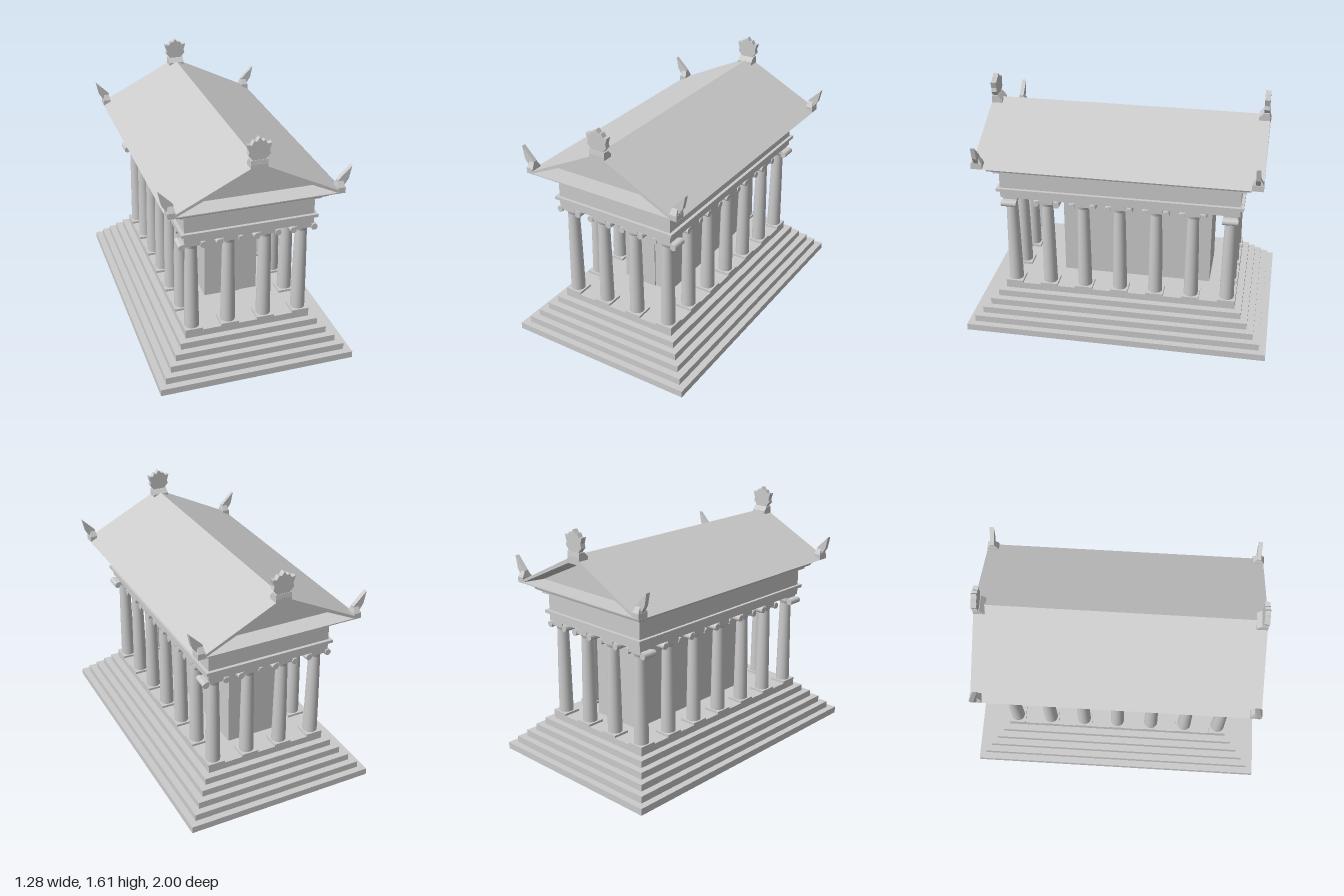
import * as THREE from 'three';

const material = new THREE.MeshStandardMaterial({ color: 0xcccccc });
const flat = new THREE.MeshStandardMaterial({ color: 0xcccccc, flatShading: true });

function add(parent, name, geometry, mat = material) {
  const mesh = new THREE.Mesh(geometry, mat);
  mesh.name = name;
  parent.add(mesh);
  return mesh;
}

// Box given by its centre in x and z, half sizes and vertical range
function slab(parent, name, hx, hz, y0, y1, x = 0, z = 0) {
  const mesh = add(parent, name, new THREE.BoxGeometry(2 * hx, y1 - y0, 2 * hz));
  mesh.position.set(x, (y0 + y1) / 2, z);
  return mesh;
}

// Closed skin through equal-sized loops of points, with both ends capped
function loft(loops) {
  const n = loops[0].length;
  const index = [];
  for (let i = 0; i < loops.length - 1; i++) {
    for (let j = 0; j < n; j++) {
      const a = i * n + j, b = i * n + (j + 1) % n;
      index.push(a, b, b + n, a, b + n, a + n);
    }
  }
  const last = (loops.length - 1) * n;
  for (let j = 1; j < n - 1; j++) index.push(0, j + 1, j, last, last + j, last + j + 1);
  const geometry = new THREE.BufferGeometry();
  geometry.setAttribute('position', new THREE.Float32BufferAttribute(loops.flat(2), 3));
  geometry.setIndex(index);
  const result = geometry.toNonIndexed();
  result.computeVertexNormals();
  return result;
}

// Horizontal rectangle loop, wound so that a loft rising in y faces outward
const rect = (hx, hz, y, z = 0) => [[-hx, y, z + hz], [hx, y, z + hz], [hx, y, z - hz], [-hx, y, z - hz]];

// Flat outline extruded and centred on z = 0
function plate(points, depth) {
  const shape = new THREE.Shape(points.map(([x, y]) => new THREE.Vector2(x, y)));
  return new THREE.ExtrudeGeometry(shape, { depth, bevelEnabled: false }).translate(0, 0, -depth / 2);
}

const shaftProfile = [[0.047, 0.285], [0.047, 0.31], [0.0455, 0.42], [0.043, 0.6], [0.039, 0.8], [0.037, 0.862]]
  .map(([r, y]) => new THREE.Vector2(r, y));
const shaftGeometry = new THREE.LatheGeometry(shaftProfile, 24);
const voluteGeometry = new THREE.CylinderGeometry(0.021, 0.021, 0.1, 16).rotateX(Math.PI / 2);

// Column with plinth, tapering shaft and scrolled capital
function column(x, z, sideFacing) {
  const group = new THREE.Group();
  group.name = 'column';
  slab(group, 'plinth', 0.058, 0.058, 0.27, 0.285);
  add(group, 'shaft', shaftGeometry);
  add(group, 'collar', new THREE.CylinderGeometry(0.045, 0.037, 0.026, 24)).position.y = 0.875;
  slab(group, 'capital', 0.069, 0.043, 0.886, 0.905);
  slab(group, 'abacus', 0.047, 0.047, 0.886, 0.92);
  for (const s of [-1, 1]) add(group, 'volute', voluteGeometry).position.set(0.069 * s, 0.885, 0);
  group.position.set(x, 0, z);
  if (sideFacing) group.rotation.y = Math.PI / 2;
  return group;
}

// Ornament at the end of the ridge
function ridgeOrnament() {
  const group = new THREE.Group();
  group.name = 'ridgeOrnament';
  slab(group, 'ornamentBase', 0.053, 0.035, 1.4, 1.445);
  add(group, 'ornamentBaseTop', loft([rect(0.053, 0.035, 1.445), rect(0.053, 0.02, 1.475, 0.012)]), flat);
  const half = [[0.035, 1.465], [0.053, 1.49], [0.068, 1.505], [0.062, 1.53], [0.075, 1.572],
    [0.048, 1.568], [0.034, 1.592], [0.018, 1.588]];
  const outline = [...half, [0, 1.612], ...half.map(([x, y]) => [-x, y]).reverse()];
  add(group, 'palmette', plate(outline, 0.034)).position.z = 0.012;
  return group;
}

// Ornament at a roof corner, pointing to +x
function cornerOrnament() {
  const group = new THREE.Group();
  group.name = 'cornerOrnament';
  slab(group, 'ornamentBase', 0.024, 0.036, 1.178, 1.215, 0.525);
  add(group, 'ornamentBaseTop', loft([rect(0.024, 0.036, 1.215), rect(0.017, 0.014, 1.25)]), flat).position.x = 0.523;
  add(group, 'leaf', plate([[0.545, 1.215], [0.575, 1.26], [0.592, 1.342], [0.505, 1.255], [0.505, 1.235]].reverse(), 0.028));
  return group;
}

export function createModel() {
  const model = new THREE.Group();
  model.name = 'temple';

  // Stepped base
  for (let i = 0; i < 6; i++) {
    slab(model, 'step', 0.64 - 0.045 * i, 1 - 0.045 * i, 0.045 * i, 0.045 * (i + 1));
  }

  // Inner chamber with door
  slab(model, 'chamber', 0.18, 0.5, 0.27, 0.92, 0, -0.085);
  slab(model, 'door', 0.06, 0.005, 0.27, 0.758, 0, 0.418);
  slab(model, 'doorLintel', 0.06, 0.0125, 0.758, 0.797, 0, 0.4275);

  // Ring of columns, four across and seven along
  const pitch = 0.239;
  for (let i = 0; i < 4; i++) {
    for (let j = 0; j < 7; j++) {
      const end = j === 0 || j === 6;
      if (end || i === 0 || i === 3) model.add(column((i - 1.5) * pitch, (j - 3) * pitch, !end));
    }
  }

  // Entablature: every layer keeps the same margin on all four sides
  const layers = [['architrave', 0.416, 0.92, 0.97], ['band', 0.437, 0.97, 0.99], ['frieze', 0.416, 0.99, 1.105],
    ['friezeMoulding', 0.446, 1.105, 1.13]];
  for (const [name, half, y0, y1] of layers) slab(model, name, half, half + 0.36, y0, y1);
  const cornice = [[0.475, 1.13], [0.48, 1.143], [0.51, 1.162], [0.517, 1.164], [0.517, 1.18]];
  add(model, 'cornice', loft(cornice.map(([half, y]) => rect(half, half + 0.36, y))), flat);

  // Roof with a recessed gable at each end
  const triangle = (half, y0, y1, z) => [[-half, y0, z], [half, y0, z], [0, y1, z]];
  const outer = z => triangle(0.55, 1.178, 1.452, z);
  const opening = z => triangle(0.5, 1.185, 1.422, z);
  const gable = z => triangle(0.46, 1.187, 1.4, z);
  add(model, 'roof', loft([gable(-0.775), opening(-0.91), outer(-0.91), outer(0.91), opening(0.91), gable(0.775)]), flat);

  // Roof ornaments, mirrored by turning
  for (const turned of [0, 1]) {
    const ridge = ridgeOrnament();
    ridge.rotation.y = Math.PI * turned;
    ridge.position.z = turned ? -0.875 : 0.875;
    model.add(ridge);
    for (const z of [-0.875, 0.875]) {
      const corner = cornerOrnament();
      corner.rotation.y = Math.PI * turned;
      corner.position.z = z;
      model.add(corner);
    }
  }
  return model;
}
